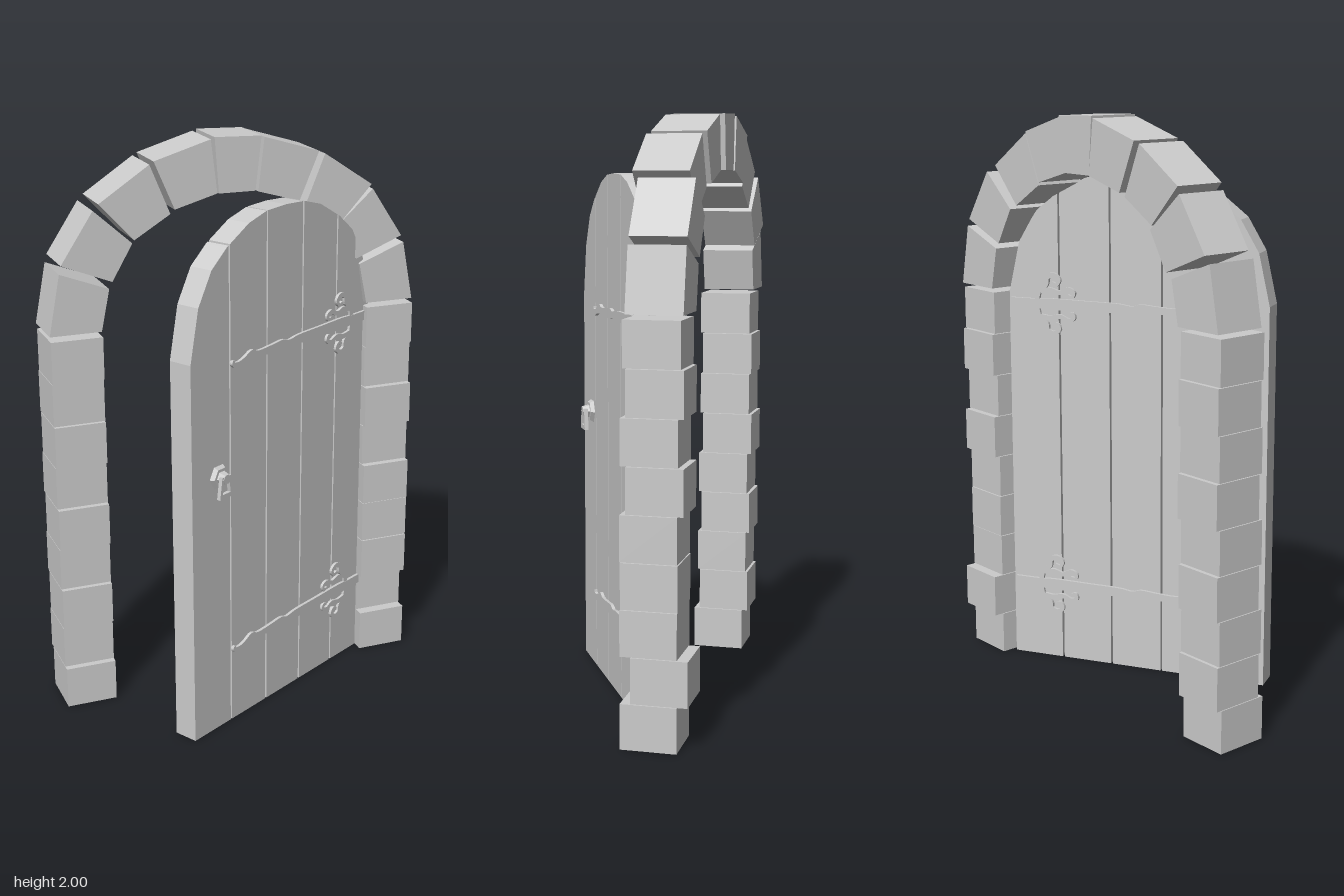
import * as THREE from 'three';

const material = new THREE.MeshStandardMaterial({ color: 0xcccccc, flatShading: true });

function addMesh(parent, name, geometry, x = 0, y = 0, z = 0) {
  const mesh = new THREE.Mesh(geometry, material);
  mesh.name = name;
  mesh.position.set(x, y, z);
  parent.add(mesh);
  return mesh;
}

// Flat outline pushed from z = 0 towards +z
function slab(points, depth) {
  const shape = new THREE.Shape(points.map(([x, y]) => new THREE.Vector2(x, y)));
  return new THREE.ExtrudeGeometry(shape, { depth, bevelEnabled: false });
}

// Tapering flat ribbon along a smooth path of [x, y, halfWidth] points
function ribbon(path, depth, steps) {
  const curve = new THREE.CatmullRomCurve3(path.map(([x, y, w]) => new THREE.Vector3(x, y, w)));
  const upper = [], lower = [];
  for (let i = 0; i <= steps; i++) {
    const p = curve.getPoint(i / steps), t = curve.getTangent(i / steps);
    const k = p.z / Math.hypot(t.x, t.y);
    upper.push([p.x - t.y * k, p.y + t.x * k]);
    lower.unshift([p.x + t.y * k, p.y - t.x * k]);
  }
  return slab([...lower, ...upper], depth);
}

function createStoneFrame() {
  const frame = new THREE.Group();
  frame.name = 'stoneFrame';

  // Pillars: nine blocks a side, each set slightly forward or back
  const fronts = {
    left: [-0.095, -0.13, -0.095, -0.097, -0.095, -0.115, -0.097, -0.115, -0.105],
    right: [-0.08, -0.1, -0.092, -0.105, -0.095, -0.11, -0.1, -0.108, -0.1],
  };
  for (const [name, side] of [['left', 1], ['right', -1]]) {
    fronts[name].forEach((front, i) => {
      const block = new THREE.BoxGeometry(0.18, 0.149, 0.184);
      addMesh(frame, `${name}PillarBlock${i + 1}`, block, side * 0.58, 0.0755 + i * 0.1512, front - 0.092);
    });
  }

  // Arch: four wedge stones mirrored around a keystone
  const wedges = [
    [[0.67, 1.375], [0.63, 1.585], [0.46, 1.52], [0.49, 1.375]],
    [[0.62, 1.61], [0.505, 1.785], [0.372, 1.665], [0.445, 1.54]],
    [[0.488, 1.807], [0.31, 1.925], [0.24, 1.755], [0.368, 1.677]],
    [[0.293, 1.933], [0.092, 1.993], [0.07, 1.81], [0.222, 1.767]],
  ];
  const leftFronts = [-0.113, -0.113, -0.09, -0.102];
  const rightFronts = [-0.113, -0.124, -0.115, -0.122];
  wedges.forEach((wedge, i) => {
    addMesh(frame, `leftArchStone${i + 1}`, slab(wedge, 0.184), 0, 0, leftFronts[i] - 0.184);
    const mirrored = wedge.map(([x, y]) => [-x, y]);
    addMesh(frame, `rightArchStone${i + 1}`, slab(mirrored, 0.184), 0, 0, rightFronts[i] - 0.184);
  });
  const key = [[-0.08, 2], [-0.066, 1.81], [0.066, 1.81], [0.088, 1.995]];
  addMesh(frame, 'keystone', slab(key, 0.184), 0, 0, -0.302);
  return frame;
}

// Strap hinge with a curled tail and paired scrolls near the frame
function createStrap() {
  const strap = new THREE.Group();
  const depth = 0.012;
  const bar = [[0.95, 0, 0.017], [0.86, 0, 0.017], [0.8, 0, 0.02], [0.66, 0, 0.018], [0.54, 0, 0.016],
    [0.49, -0.002, 0.012], [0.46, 0, 0.018], [0.4, 0, 0.014], [0.32, 0, 0.012], [0.295, 0.004, 0.017],
    [0.26, -0.005, 0.011], [0.225, -0.014, 0.011], [0.2, -0.006, 0.008], [0.2, 0.006, 0.004]];
  addMesh(strap, 'strapBar', ribbon(bar, depth, 56));
  const bigScroll = [[0.85, 0.005, 0.008], [0.842, 0.045, 0.009], [0.815, 0.07, 0.009], [0.81, 0.095, 0.009],
    [0.785, 0.104, 0.008], [0.765, 0.088, 0.007], [0.775, 0.07, 0.006], [0.793, 0.076, 0.005]];
  const smallScroll = [[0.835, 0.045, 0.008], [0.8, 0.05, 0.009], [0.765, 0.042, 0.008], [0.73, 0.055, 0.008],
    [0.71, 0.045, 0.007], [0.715, 0.03, 0.006], [0.732, 0.033, 0.004]];
  for (const side of [1, -1]) {
    for (const [name, path] of [['largeScroll', bigScroll], ['smallScroll', smallScroll]]) {
      // Reversing the mirrored path keeps the outline direction consistent
      const points = path.map(([x, y, w]) => [x, side * y, w]);
      addMesh(strap, name, ribbon(side > 0 ? points : points.reverse(), depth * 0.9, 28));
    }
  }
  return strap;
}

function createHandle() {
  const handle = new THREE.Group();
  handle.name = 'handle';
  // Six-sided rose and knob
  const rose = addMesh(handle, 'handleRose', new THREE.CylinderGeometry(0.036, 0.045, 0.014, 6), 0, 0, 0.007);
  const knob = addMesh(handle, 'handleKnob', new THREE.CylinderGeometry(0.018, 0.025, 0.024, 6), 0, 0, 0.026);
  for (const part of [rose, knob]) part.rotation.set(Math.PI / 2, Math.PI / 6, 0);
  // Hanging pull
  const pull = new THREE.Shape([[-0.022, 0.01], [-0.034, -0.066], [0.034, -0.066], [0.022, 0.01]]
    .map(([x, y]) => new THREE.Vector2(x, y)));
  pull.holes.push(new THREE.Path([[-0.012, 0], [0.012, 0], [0.02, -0.05], [-0.02, -0.05]]
    .map(([x, y]) => new THREE.Vector2(x, y))));
  addMesh(handle, 'handlePull', new THREE.ExtrudeGeometry(pull, { depth: 0.014, bevelEnabled: false }), 0, 0, 0.022);
  return handle;
}

function createDoor() {
  const door = new THREE.Group();
  door.name = 'door';
  const width = 0.96, thickness = 0.088, count = 5, gap = 0.007;

  // Rounded top line, mirrored about the middle
  const half = [[0, 1.36], [0.04, 1.54], [0.105, 1.65], [0.18, 1.71], [0.29, 1.77], [0.38, 1.795], [0.48, 1.8]];
  const top = [...half, ...half.slice(0, -1).reverse().map(([x, y]) => [width - x, y])];
  const topAt = (x) => {
    const i = Math.max(1, top.findIndex((p) => p[0] >= x - 1e-6));
    const [a, b] = [top[i - 1], top[i]];
    return a[1] + (b[1] - a[1]) * (x - a[0]) / (b[0] - a[0]);
  };

  // Planks
  for (let i = 0; i < count; i++) {
    const x0 = width * i / count + (i > 0 ? gap / 2 : 0);
    const x1 = width * (i + 1) / count - (i < count - 1 ? gap / 2 : 0);
    const inner = top.filter(([x]) => x > x0 + 0.001 && x < x1 - 0.001).reverse();
    const outline = [[x0, 0], [x1, 0], [x1, topAt(x1)], ...inner, [x0, topAt(x0)]];
    addMesh(door, `plank${i + 1}`, slab(outline, thickness), 0, 0, -thickness);
  }

  // Strap hinges on both faces
  for (const [level, y] of [['lower', 0.283], ['upper', 1.325]]) {
    for (const [face, z] of [['Front', -0.001], ['Back', -thickness - 0.011]]) {
      const strap = createStrap();
      strap.name = `${level}${face}Strap`;
      strap.position.set(0, y, z);
      door.add(strap);
    }
  }

  const handle = createHandle();
  handle.position.set(0.132, 0.943, 0);
  door.add(handle);

  // Standing ajar
  door.position.set(-0.325, 0, 0.307);
  door.rotation.y = 0.501;
  return door;
}

export function createModel() {
  const model = new THREE.Group();
  model.name = 'archedDoorway';
  model.add(createStoneFrame(), createDoor());
  return model;
}
